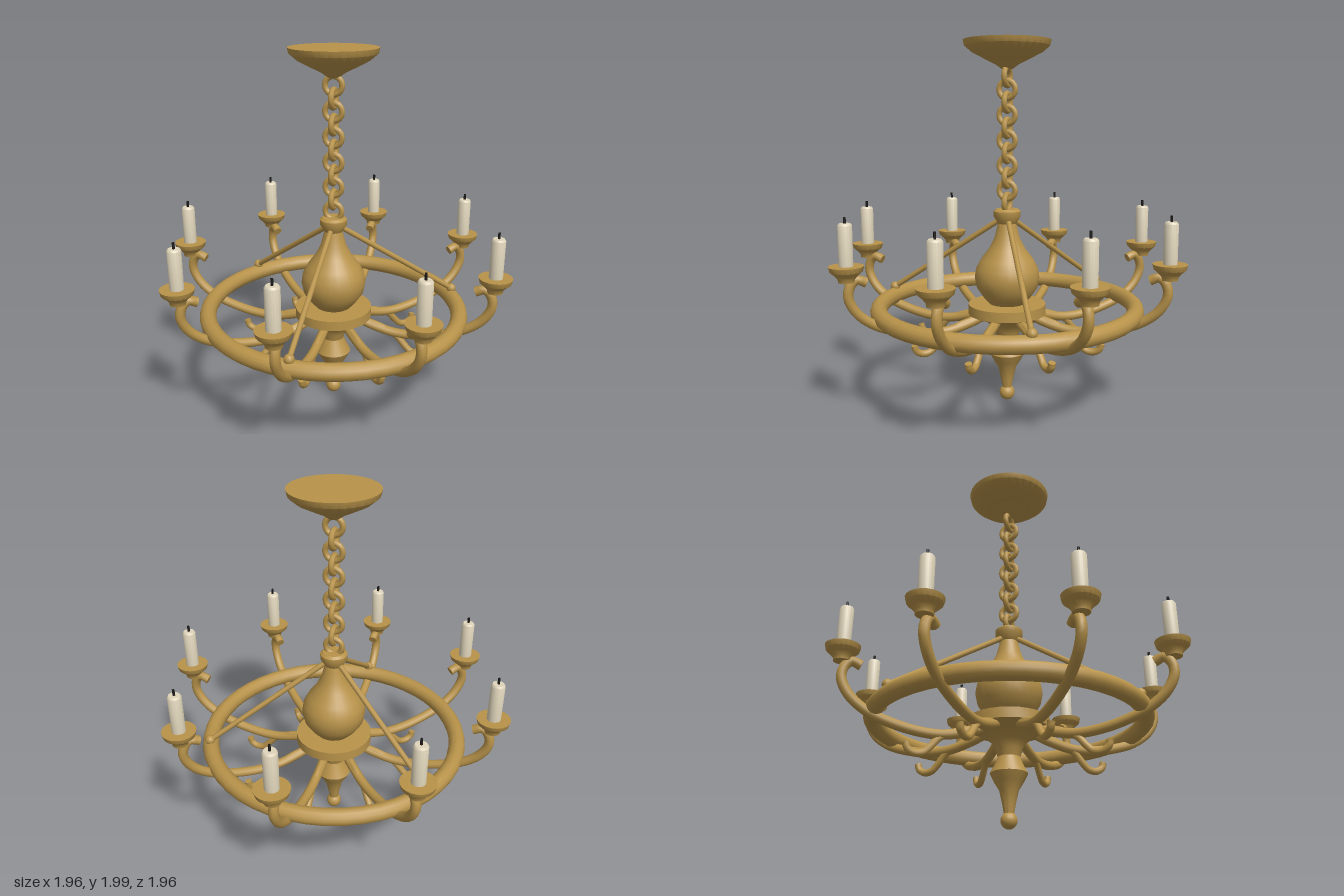
import * as THREE from 'three';
import { toCreasedNormals } from 'three/addons/utils/BufferGeometryUtils.js';

const brass = new THREE.MeshStandardMaterial({ color: 0xb8934a });
brass.name = 'brass';
const wax = new THREE.MeshStandardMaterial({ color: 0xe0d5bb });
wax.name = 'wax';
const wickBlack = new THREE.MeshStandardMaterial({ color: 0x1c1a18 });
wickBlack.name = 'wick black';

function part(name, geometry, material, parent, x = 0, y = 0, z = 0) {
  const mesh = new THREE.Mesh(geometry, material);
  mesh.name = name;
  mesh.position.set(x, y, z);
  parent.add(mesh);
  return mesh;
}

// Turned shape from [radius, height] pairs listed bottom to top
function turned(points, segments) {
  const profile = points.map(([r, y]) => new THREE.Vector2(r, y));
  return toCreasedNormals(new THREE.LatheGeometry(profile, segments), 0.65);
}

// Round bar along a curve through [outward, height] pairs, with closed tip
function bentBar(name, points, radius, steps, parent) {
  const curve = new THREE.CatmullRomCurve3(points.map(([r, y]) => new THREE.Vector3(r, y, 0)));
  part(name, new THREE.TubeGeometry(curve, steps, radius, 10), brass, parent);
  const tip = part(name + 'Tip', new THREE.CircleGeometry(radius, 10), brass, parent);
  tip.position.copy(curve.getPoint(1));
  tip.quaternion.setFromUnitVectors(new THREE.Vector3(0, 0, 1), curve.getTangent(1));
}

export function createModel() {
  const model = new THREE.Group();
  model.name = 'chandelier';

  // Ceiling canopy
  part('canopy', turned([[0, 1.85], [0.03, 1.85], [0.06, 1.872], [0.12, 1.902], [0.19, 1.938],
    [0.228, 1.97], [0.235, 2], [0, 2]], 32), brass, model);

  // Chain of round links, turned alternately
  const chain = new THREE.Group();
  chain.name = 'chain';
  model.add(chain);
  const link = new THREE.TorusGeometry(0.047, 0.016, 8, 14);
  for (let i = 0; i < 11; i++) {
    part('chainLink', link, brass, chain, 0, 1.81 - i * 0.0677, 0).rotation.y = i % 2 ? Math.PI / 2 : 0;
  }

  // Central column: finial, lower knob, hub plate, bulb and collar
  part('column', turned([[0, 0.07], [0.024, 0.07], [0.034, 0.13], [0.05, 0.2], [0.075, 0.24],
    [0.098, 0.285], [0.075, 0.33], [0.058, 0.37], [0.07, 0.41], [0.09, 0.45], [0.14, 0.488],
    [0.205, 0.51], [0.215, 0.515], [0.215, 0.57], [0.1, 0.572], [0.13, 0.605], [0.168, 0.66],
    [0.18, 0.72], [0.172, 0.77], [0.145, 0.82], [0.1, 0.88], [0.07, 0.94], [0.055, 1],
    [0.05, 1.02], [0.075, 1.06], [0.075, 1.088], [0.06, 1.1], [0, 1.1]], 28), brass, model);
  part('finialBall', new THREE.SphereGeometry(0.043, 16, 12), brass, model, 0, 0.05, 0);

  // Large wheel ring
  part('wheelRing', new THREE.TorusGeometry(0.707, 0.046, 12, 48), brass, model, 0, 0.555, 0)
    .rotation.x = Math.PI / 2;

  // Three stay rods from collar to ring
  for (let i = 0; i < 3; i++) {
    const stay = new THREE.Group();
    stay.name = 'stay';
    stay.rotation.y = -Math.PI / 2 + i * Math.PI * 2 / 3;
    model.add(stay);
    const top = new THREE.Vector3(0.04, 1.04, 0);
    const foot = new THREE.Vector3(0.708, 0.607, 0);
    const path = new THREE.LineCurve3(top, foot);
    part('stayRod', new THREE.TubeGeometry(path, 1, 0.015, 8), brass, stay);
    part('stayBall', new THREE.SphereGeometry(0.028, 12, 8), brass, stay, foot.x, foot.y, 0);
  }

  // Eight arms with scroll, drip dish and candle
  const dish = turned([[0, 0.772], [0.042, 0.772], [0.045, 0.79], [0.06, 0.808], [0.083, 0.828],
    [0.09, 0.855], [0, 0.855]], 20);
  const candle = turned([[0, 0.855], [0.037, 0.855], [0.037, 1.062], [0.03, 1.072], [0, 1.072]], 16);
  const wick = new THREE.CylinderGeometry(0.007, 0.007, 0.04, 6);
  for (let i = 0; i < 8; i++) {
    const arm = new THREE.Group();
    arm.name = 'arm';
    arm.rotation.y = i * Math.PI / 4;
    model.add(arm);
    bentBar('armBar', [[0.12, 0.52], [0.23, 0.48], [0.36, 0.452], [0.48, 0.455], [0.62, 0.483],
      [0.745, 0.53], [0.84, 0.605], [0.882, 0.69], [0.868, 0.755], [0.835, 0.781], [0.79, 0.762]],
    0.026, 40, arm);
    bentBar('hook', [[0.15, 0.51], [0.28, 0.478], [0.37, 0.435], [0.42, 0.38], [0.455, 0.349],
      [0.5, 0.345], [0.532, 0.366], [0.54, 0.395]], 0.019, 28, arm);
    part('dripDish', dish, brass, arm, 0.888, 0, 0);
    part('candle', candle, wax, arm, 0.888, 0, 0);
    part('wick', wick, wickBlack, arm, 0.888, 1.085, 0);
  }
  return model;
}
